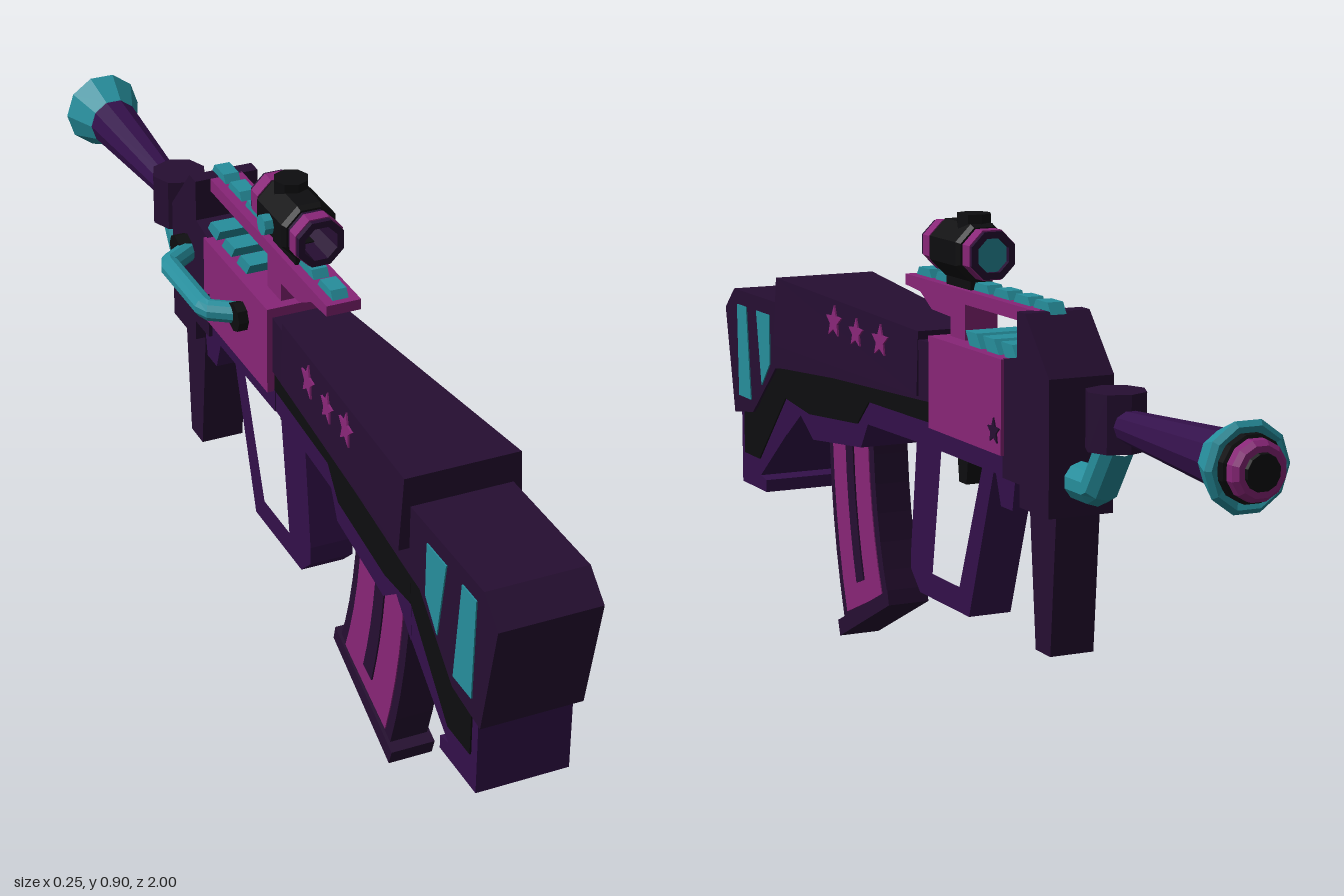
import * as THREE from 'three';

const mat = (name, color) => Object.assign(new THREE.MeshStandardMaterial({ color }), { name });

export function createModel() {
  const root = new THREE.Group();
  root.name = 'toyBlaster';
  const g = new THREE.Group();
  g.name = 'blaster';
  g.position.x = 0.0125;
  root.add(g);

  const dark = mat('dark plum', 0x260e32);
  const purple = mat('purple', 0x33104a);
  const magenta = mat('magenta', 0x882577);
  const cyan = mat('teal', 0x268e9c);
  const black = mat('black', 0x0d0d0f);

  const add = (name, geo, material) => {
    const mesh = new THREE.Mesh(geo, material);
    mesh.name = name;
    g.add(mesh);
    return mesh;
  };
  const flat = (geo) => {
    const out = geo.index ? geo.toNonIndexed() : geo;
    out.computeVertexNormals();
    return out;
  };
  const shapeOf = (pts) => new THREE.Shape(pts.map(([z, y]) => new THREE.Vector2(z, y)));

  // Side profile in (z, y), as wide on both sides as half says at each corner
  const slab = (name, pts, half, material, hole) => {
    const shape = shapeOf(pts);
    if (hole) shape.holes.push(shapeOf(hole));
    const geo = new THREE.ExtrudeGeometry(shape, { depth: 2, bevelEnabled: false });
    geo.translate(0, 0, -1).rotateY(-Math.PI / 2);
    const p = geo.attributes.position;
    for (let i = 0; i < p.count; i++) {
      const w = typeof half === 'function' ? half(p.getZ(i), p.getY(i)) : half;
      p.setX(i, Math.sign(p.getX(i)) * w);
    }
    return add(name, flat(geo), material);
  };

  // Turned part along z from [z, radius] pairs, listed from +z to -z
  const turned = (name, profile, y, material, sides = 8) => {
    const geo = new THREE.LatheGeometry(profile.map(([z, r]) => new THREE.Vector2(r, -z)), sides);
    geo.rotateY(Math.PI / sides).rotateX(-Math.PI / 2).translate(0, y, 0);
    return add(name, flat(geo), material);
  };
  const tube = (name, pts, r, material) => {
    const path = new THREE.CurvePath();
    const v = pts.map((p) => new THREE.Vector3(...p));
    for (let i = 1; i < v.length; i++) path.add(new THREE.LineCurve3(v[i - 1], v[i]));
    return add(name, flat(new THREE.TubeGeometry(path, 24, r, 10)), material);
  };
  const star = (z, y, r) => Array.from({ length: 10 }, (_, i) => {
    const a = Math.PI / 2 + i * Math.PI / 5, d = i % 2 ? r * 0.45 : r;
    return [z + Math.cos(a) * d, y + Math.sin(a) * d];
  });

  // Stock: wide butt, then a body tapering towards the receiver
  const taper = (offset) => (z) => 0.062 + (z - 0.1) * 0.0517 + offset;
  slab('buttUpper', [[1, 0.61], [0.95, 0.655], [0.69, 0.655], [0.69, 0.525], [0.73, 0.52], [0.855, 0.41], [0.955, 0.395]], 0.0925, dark);
  slab('buttLower', [[0.935, 0.5], [0.935, 0.25], [0.805, 0.25], [0.805, 0.275], [0.835, 0.28], [0.69, 0.392], [0.69, 0.56]], 0.085, purple);
  slab('buttBand', [[0.915, 0.42], [0.915, 0.315], [0.835, 0.315], [0.69, 0.465], [0.69, 0.54], [0.72, 0.54], [0.84, 0.42]], 0.088, black);
  slab('buttStripeRear', [[0.93, 0.625], [0.88, 0.625], [0.86, 0.435], [0.925, 0.435]], 0.095, cyan);
  slab('buttStripeFront', [[0.825, 0.625], [0.755, 0.625], [0.755, 0.525], [0.8, 0.475]], 0.095, cyan);

  slab('bodyUpper', [[0.69, 0.655], [0.06, 0.665], [0.06, 0.555], [0.46, 0.54], [0.69, 0.525]], taper(0), dark);
  slab('bodyLower', [[0.69, 0.54], [0.69, 0.39], [0.625, 0.44], [0.57, 0.4], [0.36, 0.42], [0.33, 0.47], [0.06, 0.47], [0.06, 0.555]], taper(-0.007), purple);
  slab('bodyBand', [[0.69, 0.545], [0.69, 0.465], [0.58, 0.45], [0.37, 0.465], [0.32, 0.515], [0.06, 0.515], [0.06, 0.56], [0.46, 0.545]], taper(-0.004), black);

  // Flared cheek rest with stars
  const cheek = (z, y) => {
    const t = (z - 0.11) / 0.58;
    return (1 - t) * (0.063 + (0.68 - y) * 0.03) + t * (0.105 + (0.71 - y) * 0.055);
  };
  slab('cheekRest', [[0.69, 0.71], [0.11, 0.68], [0.11, 0.56], [0.69, 0.575]], cheek, dark);
  [[0.435, 0.655, 0.032], [0.345, 0.645, 0.029], [0.25, 0.643, 0.032]].forEach(([z, y, r]) =>
    slab('cheekStar', star(z, y, r), (a, b) => cheek(a, b) + 0.003, magenta));

  // Receiver, lower rail and front block
  slab('receiver', [[0.055, 0.68], [-0.24, 0.68], [-0.24, 0.51], [0.055, 0.51]], 0.068, magenta);
  slab('receiverStar', star(-0.215, 0.55, 0.024), 0.071, dark);
  slab('lowerRail', [[0.06, 0.515], [-0.3, 0.515], [-0.3, 0.47], [-0.27, 0.47], [-0.26, 0.415], [-0.215, 0.415], [-0.195, 0.47], [0.06, 0.47]], 0.055, purple);
  slab('frontBlock', [[-0.235, 0.68], [-0.29, 0.69], [-0.29, 0.77], [-0.32, 0.77], [-0.41, 0.67], [-0.41, 0.43], [-0.3, 0.43], [-0.3, 0.47], [-0.235, 0.47]], 0.062, dark);
  slab('frontLeg', [[-0.3, 0.44], [-0.4, 0.44], [-0.38, 0.18], [-0.325, 0.18]], 0.042, dark);
  [-0.095, -0.165, -0.235].forEach((z) =>
    slab('receiverTooth', [[z + 0.032, 0.705], [z - 0.012, 0.705], [z - 0.035, 0.675], [z + 0.012, 0.675]], 0.05, cyan));

  // Grip frame and trigger
  slab('gripFrame', [[0.16, 0.48], [0.19, 0.25], [0.19, 0.215], [0.15, 0.178], [-0.06, 0.178], [-0.165, 0.48]], 0.042, purple,
    [[0.055, 0.468], [0.095, 0.225], [-0.02, 0.225], [-0.115, 0.468]]);
  slab('trigger', [[0.04, 0.48], [0.03, 0.41], [0.0, 0.41], [-0.01, 0.48]], 0.018, black);

  // Curved magazine: u runs across it, t down it
  const bez = (a, b, c, t) => a + 2 * (b - a) * t + (a - 2 * b + c) * t * t;
  const magPoint = (t, u) => {
    const rear = [bez(0.59, 0.587, 0.52, t), bez(0.46, 0.235, 0.04, t)];
    const front = [bez(0.375, 0.372, 0.31, t), bez(0.46, 0.28, 0.13, t)];
    return rear.map((v, i) => v + (front[i] - v) * u);
  };
  const magStrip = (u0, u1, t1) => {
    const ts = Array.from({ length: 7 }, (_, i) => t1 * i / 6);
    return [...ts.map((t) => magPoint(t, u0)), ...ts.reverse().map((t) => magPoint(t, u1))];
  };
  slab('magazine', magStrip(0, 1, 1), 0.036, dark);
  slab('magazinePanel', magStrip(0.1, 0.9, 0.97), 0.038, magenta);
  slab('magazineRib', magStrip(0.42, 0.58, 0.85), 0.041, dark);
  slab('magazineBase', [[0.54, 0.035], [0.3, 0.148], [0.293, 0.12], [0.53, 0.005]], 0.042, dark);
  [0.5, 0.41, 0.335].forEach((z) => {
    const y = 0.02 + (0.53 - z) * 0.485;
    slab('magazineBump', [[z + 0.025, y], [z - 0.012, y + 0.018], [z - 0.02, y - 0.005], [z + 0.016, y - 0.022]], 0.036, dark);
  });

  // Top sight rail with teeth
  slab('topRail', [[0.23, 0.77], [-0.3, 0.77], [-0.3, 0.745], [-0.025, 0.745], [-0.025, 0.67], [0.035, 0.67], [0.035, 0.715], [0.115, 0.718], [0.165, 0.745], [0.23, 0.75]], 0.0325, magenta);
  [0.185, 0.105, 0.025, -0.055, -0.135, -0.215, -0.29].forEach((z) =>
    slab('railTooth', [[z + 0.035, 0.765], [z + 0.022, 0.785], [z - 0.022, 0.785], [z - 0.035, 0.765]], 0.015, cyan));

  // Scope: open tube with recessed lenses
  const sy = 0.837;
  turned('scopeTube', [[0.03, 0.03], [0.135, 0.033], [0.135, 0.046], [-0.075, 0.046], [-0.075, 0.033], [-0.06, 0.033]], sy, dark);
  [[0.125, 0.1], [-0.04, -0.068]].forEach(([a, b]) =>
    turned('scopeRing', [[a, 0.04], [a, 0.0485], [b, 0.0485], [b, 0.04]], sy, magenta));
  turned('scopeBody', [[0.09, 0.04], [0.09, 0.05], [0.08, 0.056], [-0.025, 0.056], [-0.035, 0.05], [-0.035, 0.04]], sy, black);
  turned('eyeLens', [[0.04, 0], [0.04, 0.034]], sy, cyan, 16).material = cyan;
  turned('frontLens', [[-0.065, 0.034], [-0.065, 0]], sy, cyan, 16);
  [[0.05, 0.034]].forEach(([z, r]) => turned('lensBacking', [[z - 0.012, r], [z - 0.012, 0]], sy, black, 16));
  slab('scopeMount', [[0.075, 0.81], [-0.025, 0.81], [-0.025, 0.77], [0.075, 0.77]], 0.022, black);
  add('topKnob', flat(new THREE.CylinderGeometry(0.032, 0.032, 0.04, 8)), black).position.set(0, 0.885, 0.005);
  const sideKnob = add('sideKnob', flat(new THREE.CylinderGeometry(0.019, 0.019, 0.04, 8)), cyan);
  sideKnob.rotation.z = Math.PI / 2;
  sideKnob.position.set(-0.048, sy, 0.03);

  // Side handle on the right
  const hy = 0.612;
  tube('sideHandle', [[-0.06, hy, -0.325], [-0.12, hy, -0.285], [-0.12, hy, -0.1], [-0.06, hy, -0.06]], 0.02, cyan);
  [-0.335, -0.055].forEach((z) => {
    const m = add('handleMount', flat(new THREE.CylinderGeometry(0.028, 0.028, 0.03, 8)), black);
    m.rotation.z = Math.PI / 2;
    m.position.set(-0.072, hy, z);
  });

  // Bent pipe, cup and flared barrel
  tube('bentPipe', [[0, 0.492, -0.39], [0, 0.492, -0.475], [0, 0.58, -0.535]], 0.034, cyan);
  add('pipeCup', flat(new THREE.CylinderGeometry(0.053, 0.053, 0.1, 8)), dark).position.set(0, 0.617, -0.531);
  const by = 0.613;
  turned('barrel', [[-0.55, 0.026], [-0.885, 0.049]], by, purple, 10);
  turned('barrelBell', [[-0.88, 0.046], [-0.885, 0.05], [-0.95, 0.077], [-0.958, 0.068], [-0.945, 0.04]], by, cyan, 10);
  turned('muzzleCollar', [[-0.94, 0.056], [-0.968, 0.056], [-0.972, 0.048]], by, black, 12);
  turned('muzzleRing', [[-0.965, 0.051], [-0.985, 0.05], [-0.994, 0.042], [-0.994, 0.03]], by, magenta, 12);
  turned('muzzleCap', [[-0.985, 0.034], [-1, 0.03], [-1, 0]], by, black, 12);

  return root;
}
